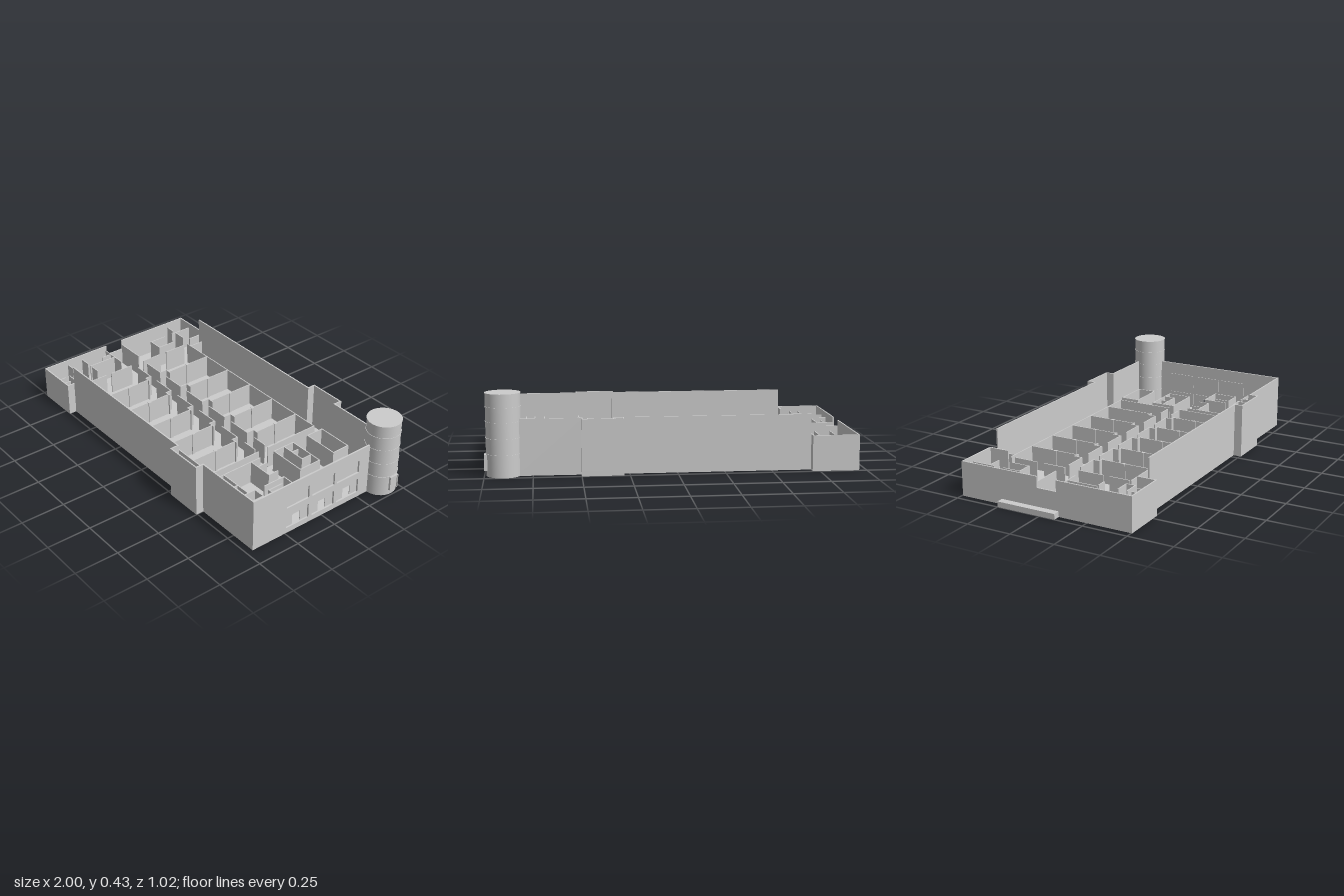
import * as THREE from 'three';

const mat = new THREE.MeshStandardMaterial({ color: 0xcccccc, side: THREE.DoubleSide });
const T = 0.008; // wall thickness
const FLOOR = 0.03;
const PH = 0.16; // top of the inner partitions

export function createModel() {
  const root = new THREE.Group();
  const group = (name) => {
    const g = new THREE.Group();
    g.name = name;
    root.add(g);
    return g;
  };
  const add = (parent, name, geo) => {
    const m = new THREE.Mesh(geo, mat);
    m.name = name;
    parent.add(m);
    return m;
  };
  // Box given by its extents
  const block = (parent, name, x0, x1, y0, y1, z0, z1) =>
    add(parent, name, new THREE.BoxGeometry(x1 - x0, y1 - y0, z1 - z0))
      .position.set((x0 + x1) / 2, (y0 + y1) / 2, (z0 + z1) / 2);
  // Straight wall along x or z between two plan points
  const wall = (parent, name, [x0, z0, x1, z1], y0, y1, t = T) =>
    block(parent, name, Math.min(x0, x1) - t / 2, Math.max(x0, x1) + t / 2, y0, y1,
      Math.min(z0, z1) - t / 2, Math.max(z0, z1) + t / 2);
  const walls = (parent, name, list, y0, y1, t) => list.forEach((w) => wall(parent, name, w, y0, y1, t));
  const partitions = (parent, name, list) => walls(parent, name, list, FLOOR, PH, 0.006);

  // Ground slab following the outline of the building
  const outline = [[-0.96, -0.495], [-0.71, -0.495], [-0.71, -0.453], [0.28, -0.453], [0.28, -0.497],
    [0.5, -0.497], [0.5, -0.453], [0.9, -0.453], [0.9, 0.462], [0.5, 0.462], [0.5, 0.507],
    [0.28, 0.507], [0.28, 0.462], [-0.71, 0.462], [-0.71, 0.505], [-0.96, 0.505]];
  const slab = new THREE.Shape(outline.map(([x, z]) => new THREE.Vector2(x, -z)));
  const slabGeo = new THREE.ExtrudeGeometry(slab, { depth: FLOOR, bevelEnabled: false });
  add(root, 'groundSlab', slabGeo.rotateX(-Math.PI / 2));

  // Long outer walls with projecting bays
  const H = 0.298;
  const shell = group('outerWalls');
  for (const [z, bay, end] of [[-0.449, -0.493, 0.83], [0.458, 0.503, 0.896]]) {
    walls(shell, 'longWall', [[-0.705, z, 0.284, z], [0.496, z, end, z]], 0, H);
    walls(shell, 'bayWall', [[0.284, z, 0.284, bay], [0.284, bay, 0.496, bay], [0.496, bay, 0.496, z]], 0, H);
  }

  // End wall with two rows of openings; shape coordinates are (-z, y)
  const rect = (Type, z0, z1, y0, y1) => {
    const s = new Type();
    s.moveTo(-z1, y0);
    s.lineTo(-z0, y0);
    s.lineTo(-z0, y1);
    s.lineTo(-z1, y1);
    s.closePath();
    return s;
  };
  const extrudeX = (parent, name, shape, x, depth) => {
    const geo = new THREE.ExtrudeGeometry(shape, { depth, bevelEnabled: false });
    add(parent, name, geo.rotateY(Math.PI / 2)).position.x = x;
  };
  const endWall = rect(THREE.Shape, -0.36, 0.462, 0, H);
  const openings = [[0.093, 0.243, 0.142, 0.195], [-0.082, 0.071, -0.03, 0.02], [-0.254, -0.1, -0.205, -0.153]];
  for (const [z0, z1, d0, d1] of openings) {
    endWall.holes.push(rect(THREE.Path, z0, z1, 0.031, 0.115), rect(THREE.Path, z0, z1, 0.155, 0.23));
    // Recessed entrance screen with an open doorway, and glazing above
    const screen = rect(THREE.Shape, z0, z1, 0.03, 0.115);
    screen.holes.push(rect(THREE.Path, d0, d1, 0.031, 0.09));
    extrudeX(shell, 'entranceScreen', screen, 0.886, 0.004);
    block(shell, 'upperGlazing', 0.886, 0.89, 0.155, 0.23, z0, z1);
  }
  extrudeX(shell, 'endWall', endWall, 0.89, 0.01);

  // Lower wing at the other end
  const wing = group('wing');
  const WH = 0.19;
  walls(wing, 'wingWall', [[-0.956, -0.491, -0.714, -0.491], [-0.956, 0.501, -0.714, 0.501],
    [-0.956, -0.491, -0.956, -0.04], [-0.956, 0.08, -0.956, 0.501],
    [-0.714, -0.491, -0.714, -0.38], [-0.714, 0.4, -0.714, 0.501]], 0, WH);
  wall(wing, 'wingSill', [-0.956, -0.04, -0.956, 0.08], 0, 0.13);
  partitions(wing, 'wingPartition', [
    [-0.95, -0.385, -0.9, -0.385], [-0.87, -0.49, -0.87, -0.36], [-0.87, -0.385, -0.79, -0.385],
    [-0.87, -0.3, -0.87, -0.2], [-0.87, -0.2, -0.785, -0.2], [-0.785, -0.3, -0.785, -0.2],
    [-0.95, -0.04, -0.78, -0.04], [-0.95, 0.08, -0.79, 0.08], [-0.9, 0.08, -0.9, 0.14],
    [-0.95, 0.25, -0.89, 0.25], [-0.84, 0.25, -0.79, 0.25], [-0.86, 0.08, -0.86, 0.25],
    [-0.84, 0.36, -0.76, 0.36], [-0.76, 0.36, -0.76, 0.41], [-0.84, 0.41, -0.76, 0.41],
    [-0.95, 0.35, -0.9, 0.35], [-0.84, 0.44, -0.84, 0.495], [-0.79, 0.44, -0.79, 0.495],
    [-0.714, -0.33, -0.714, -0.2], [-0.714, -0.15, -0.714, -0.03], [-0.714, 0.06, -0.714, 0.2],
    [-0.714, 0.24, -0.714, 0.35], [-0.68, -0.445, -0.68, -0.36]]);
  block(root, 'loadingDock', -1, -0.96, 0, 0.03, -0.25, 0.09);

  // Two rows of rooms along a central corridor
  const rooms = group('hallRooms');
  const bays = [-0.71, -0.52, -0.32, -0.115, 0.085, 0.285, 0.437];
  for (const s of [-1, 1]) {
    const zc = s < 0 ? -0.03 : 0.04;
    const zo = s * 0.36;
    partitions(rooms, 'roomOuterWall', [[-0.71, zo, 0.437, zo]]);
    bays.slice(1).forEach((x, i) => {
      const last = i === bays.length - 2;
      partitions(rooms, 'roomPartition', [[x, last ? zc : s * 0.075, x, zo]]);
      partitions(rooms, 'corridorWall', [[bays[i] + 0.04, zc, x - 0.03, zc]]);
      if (last) return;
      // Recessed doorway beside each partition
      partitions(rooms, 'doorNiche', [[x - 0.025, zc, x - 0.025, s * 0.075],
        [x - 0.025, s * 0.075, x + 0.01, s * 0.075]]);
      block(rooms, 'column', x - 0.008, x + 0.008, FLOOR, PH, s * 0.21 - 0.008, s * 0.21 + 0.008);
    });
  }

  // Rooms beside the entrance
  const service = group('entranceRooms');
  const boxRoom = (x0, x1, z0, z1) => [[x0, z0, x1, z0], [x1, z0, x1, z1], [x1, z1, x0, z1], [x0, z1, x0, z0]];
  partitions(service, 'servicePartition', [
    ...boxRoom(0.485, 0.69, -0.375, -0.27),
    ...boxRoom(0.485, 0.695, -0.165, -0.03),
    [0.485, -0.1, 0.63, -0.1], [0.55, -0.14, 0.55, -0.1], [0.63, -0.1, 0.63, -0.165],
    [0.485, 0.07, 0.485, 0.455], [0.485, 0.13, 0.63, 0.13], [0.54, 0.07, 0.54, 0.13], [0.63, 0.07, 0.63, 0.13],
    [0.485, 0.315, 0.685, 0.315], [0.6, 0.315, 0.6, 0.36], [0.685, 0.27, 0.685, 0.455],
    [0.69, 0.08, 0.69, 0.21], [0.73, 0.13, 0.73, 0.215], [0.73, 0.215, 0.83, 0.215], [0.83, 0.08, 0.83, 0.215],
    [0.69, 0.08, 0.83, 0.08], [0.69, 0.27, 0.76, 0.27], [0.79, 0.27, 0.89, 0.27],
    [0.75, 0.27, 0.75, 0.36], [0.81, 0.27, 0.81, 0.33], [0.72, 0.35, 0.83, 0.35],
    [0.79, 0.38, 0.79, 0.455], [0.74, 0.4, 0.74, 0.455]]);

  // Round stair tower with shadow joints and a doorway
  const tower = group('stairTower');
  tower.position.set(0.9, 0, -0.415);
  add(tower, 'towerBody', new THREE.CylinderGeometry(0.091, 0.091, 0.433, 40)).position.y = 0.2165;
  for (const y of [0.117, 0.2, 0.285, 0.362, 0.432]) {
    add(tower, 'floorJoint', new THREE.CylinderGeometry(0.0935, 0.0935, 0.002, 40)).position.y = y;
  }
  for (const z of [-0.036, 0.016]) block(tower, 'doorJamb', 0.08, 0.1, 0.03, 0.113, z, z + 0.004);
  block(tower, 'doorHead', 0.08, 0.1, 0.109, 0.113, -0.036, 0.02);
  block(tower, 'doorLeaf', 0.08, 0.094, 0.03, 0.109, -0.032, 0.016);

  return root;
}
